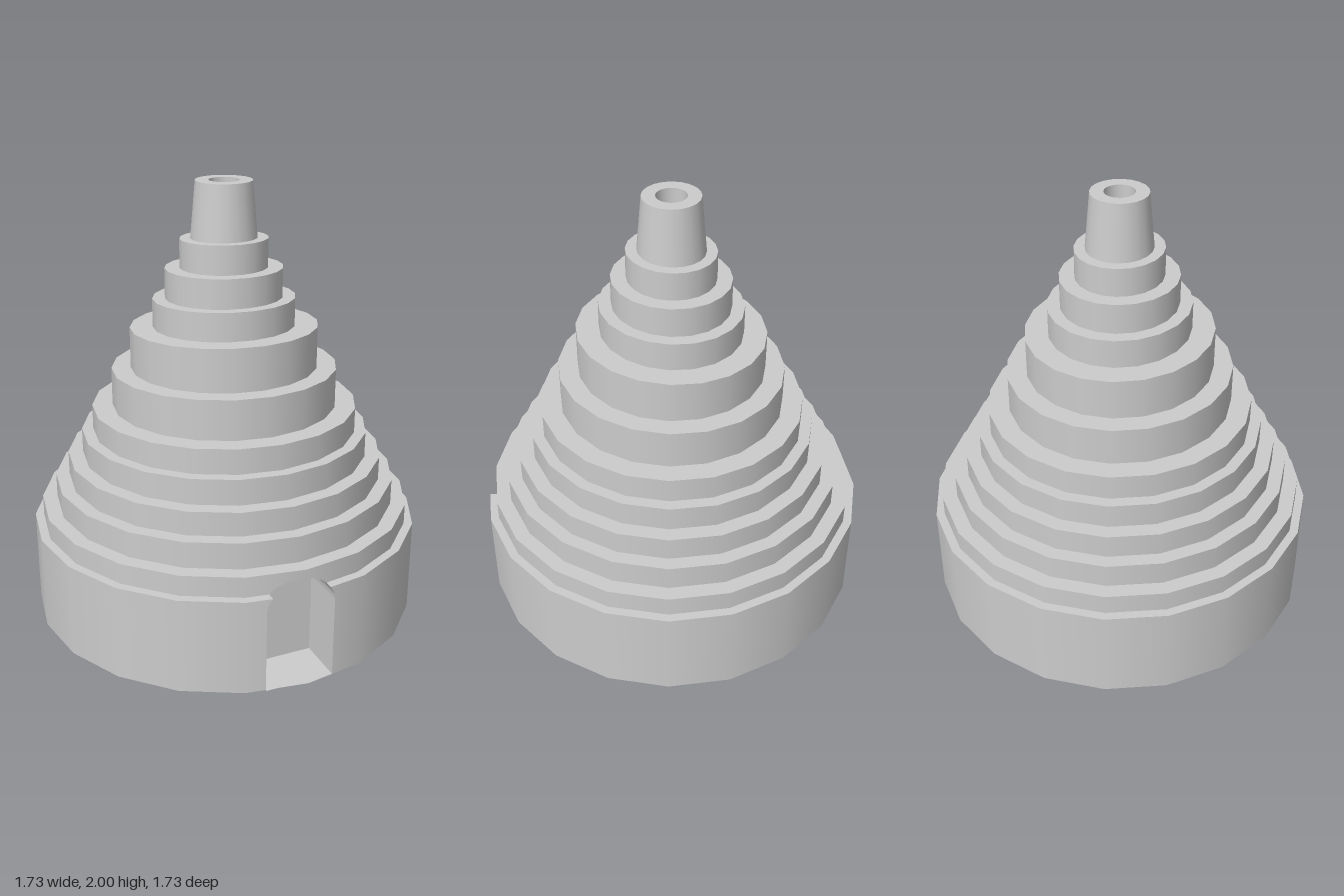
import * as THREE from 'three';

const SIDES = 20;
const STEP = Math.PI / 10;            // angle of one facet
const BASE_Y = 0.08, LEDGE_Y = 0.5, SECOND_Y = 0.59;
const R1 = 0.863, R2 = 0.825;         // radii of the two tiers cut by the doorway
const DOOR = { left: -0.18, right: 0.12, back: 0.64, spring: 0.44, rise: 0.11 };

// Doorway front: one cross-section per x, lofted from side to side
function doorwayGeometry() {
  const mid = (DOOR.left + DOOR.right) / 2, half = (DOOR.right - DOOR.left) / 2;
  const arch = x => DOOR.spring + DOOR.rise * Math.sqrt(Math.max(0, 1 - ((x - mid) / half) ** 2));
  const facetZ = (x, r) => r - Math.abs(x) * Math.tan(STEP / 2);

  const column = (x, h, high, x2 = x) => {
    const z1 = facetZ(x, R1), z2 = facetZ(x2, R2);
    const zf = high ? z2 : z1, top = Math.max(h, LEDGE_Y);
    return [
      [x, BASE_Y, DOOR.back], [x, h, DOOR.back], [x, h, zf],
      [x, top, zf], [x2, top, z2], [x2, SECOND_Y, z2],
    ];
  };

  // where the arch crosses the ledge between the two tiers
  const cross = half * Math.sqrt(1 - ((LEDGE_Y - DOOR.spring) / DOOR.rise) ** 2);
  const xs = [0, mid - cross, mid + cross];
  for (let i = 0; i <= 16; i++) xs.push(mid - half * Math.cos(Math.PI * i / 16));
  xs.sort((a, b) => a - b);

  const s = Math.sin(STEP);
  const columns = [column(-R1 * s, BASE_Y, false, -R2 * s), column(DOOR.left, BASE_Y, false)];
  for (const x of xs) {
    const off = Math.abs(x - mid);
    if (Math.abs(off - cross) < 1e-6) {
      const pair = [column(x, LEDGE_Y, false), column(x, LEDGE_Y, true)];
      columns.push(...(x < mid ? pair : pair.reverse()));
    } else columns.push(column(x, arch(x), off < cross));
  }
  columns.push(column(DOOR.right, BASE_Y, false), column(R1 * s, BASE_Y, false, R2 * s));

  const positions = [], outer = [];
  for (let i = 0; i < columns.length - 1; i++) {
    for (let j = 0; j < 5; j++) {
      const a = columns[i][j], b = columns[i + 1][j], c = columns[i + 1][j + 1], d = columns[i][j + 1];
      for (const p of [a, b, c, a, c, d]) {
        positions.push(...p);
        outer.push(j === 2 || j === 4);
      }
    }
  }
  const geo = new THREE.BufferGeometry();
  geo.setAttribute('position', new THREE.Float32BufferAttribute(positions, 3));
  geo.computeVertexNormals();
  // round normals on the outer wall, to match the neighbouring facets
  const n = geo.attributes.normal, p = geo.attributes.position;
  outer.forEach((isOuter, i) => {
    if (!isOuter) return;
    const l = Math.hypot(p.getX(i), p.getZ(i));
    n.setXYZ(i, p.getX(i) / l, 0, p.getZ(i) / l);
  });
  return geo;
}

export function createModel() {
  const stone = new THREE.MeshStandardMaterial({ color: 0xcccccc, side: THREE.DoubleSide });
  stone.name = 'grey stone';
  const model = new THREE.Group();
  model.name = 'steppedTower';
  const add = (name, geo, y = 0) => {
    const mesh = new THREE.Mesh(geo, stone);
    mesh.name = name;
    mesh.position.set(0, y, 0.007);
    model.add(mesh);
    return mesh;
  };

  // Two lower tiers, open over the two front facets where the doorway sits
  const span = 2 * Math.PI - 2 * STEP;
  const wall = (r, y0, y1) =>
    new THREE.CylinderGeometry(r, r, y1 - y0, SIDES - 2, 1, true, STEP, span).translate(0, (y0 + y1) / 2, 0);
  add('baseWall', wall(R1, BASE_Y, LEDGE_Y));
  add('secondWall', wall(R2, LEDGE_Y, SECOND_Y));
  add('baseLedge',
    new THREE.RingGeometry(R2, R1, SIDES - 2, 1, STEP - Math.PI / 2, span).rotateX(-Math.PI / 2), LEDGE_Y);
  add('secondLedge', new THREE.CircleGeometry(R2, SIDES).rotateX(-Math.PI / 2), SECOND_Y);
  add('underside', new THREE.CircleGeometry(R1, SIDES).rotateX(Math.PI / 2), BASE_Y);
  add('doorway', doorwayGeometry());

  // Wedge under the doorway, its top being the threshold
  const wedge = new THREE.Shape([
    new THREE.Vector2(DOOR.back, 0),
    new THREE.Vector2(0.842, BASE_Y),
    new THREE.Vector2(DOOR.back, BASE_Y + 0.002),
  ]);
  add('threshold', new THREE.ExtrudeGeometry(wedge, { depth: DOOR.right - DOOR.left, bevelEnabled: false })
    .rotateY(-Math.PI / 2).translate(DOOR.right, 0, 0));

  // Upper tiers: radius, top height, backward tilt of the top
  const tiers = [
    [0.76, 0.70, 0.007], [0.70, 0.805, 0.007], [0.635, 0.915, 0.012],
    [0.585, 1.025, 0.013], [0.495, 1.195, 0.025], [0.41, 1.378, 0.043],
    [0.31, 1.503, 0.04], [0.255, 1.633, 0.03], [0.19, 1.758, 0.035],
  ];
  let below = SECOND_Y;
  tiers.forEach(([r, top, tilt], i) => {
    const y0 = below - 0.03;
    const geo = new THREE.CylinderGeometry(r, r, top - y0, SIDES).translate(0, (top + y0) / 2, 0);
    const p = geo.attributes.position;
    for (let k = 0; k < p.count; k++) {
      if (p.getY(k) > top - 0.001) p.setY(k, top + tilt * p.getZ(k));
    }
    add(`tier${i + 3}`, geo);
    below = top;
  });

  // Tapered chimney with a bore
  add('chimneyWall', new THREE.CylinderGeometry(0.122, 0.146, 0.27, SIDES, 1, true), 1.865);
  add('chimneyRim', new THREE.RingGeometry(0.065, 0.122, SIDES).rotateX(-Math.PI / 2), 2);
  add('chimneyBore', new THREE.LatheGeometry(
    [new THREE.Vector2(0.065, 2), new THREE.Vector2(0.065, 1.8)], SIDES));
  add('boreFloor', new THREE.CircleGeometry(0.065, SIDES).rotateX(-Math.PI / 2), 1.8);

  return model;
}
